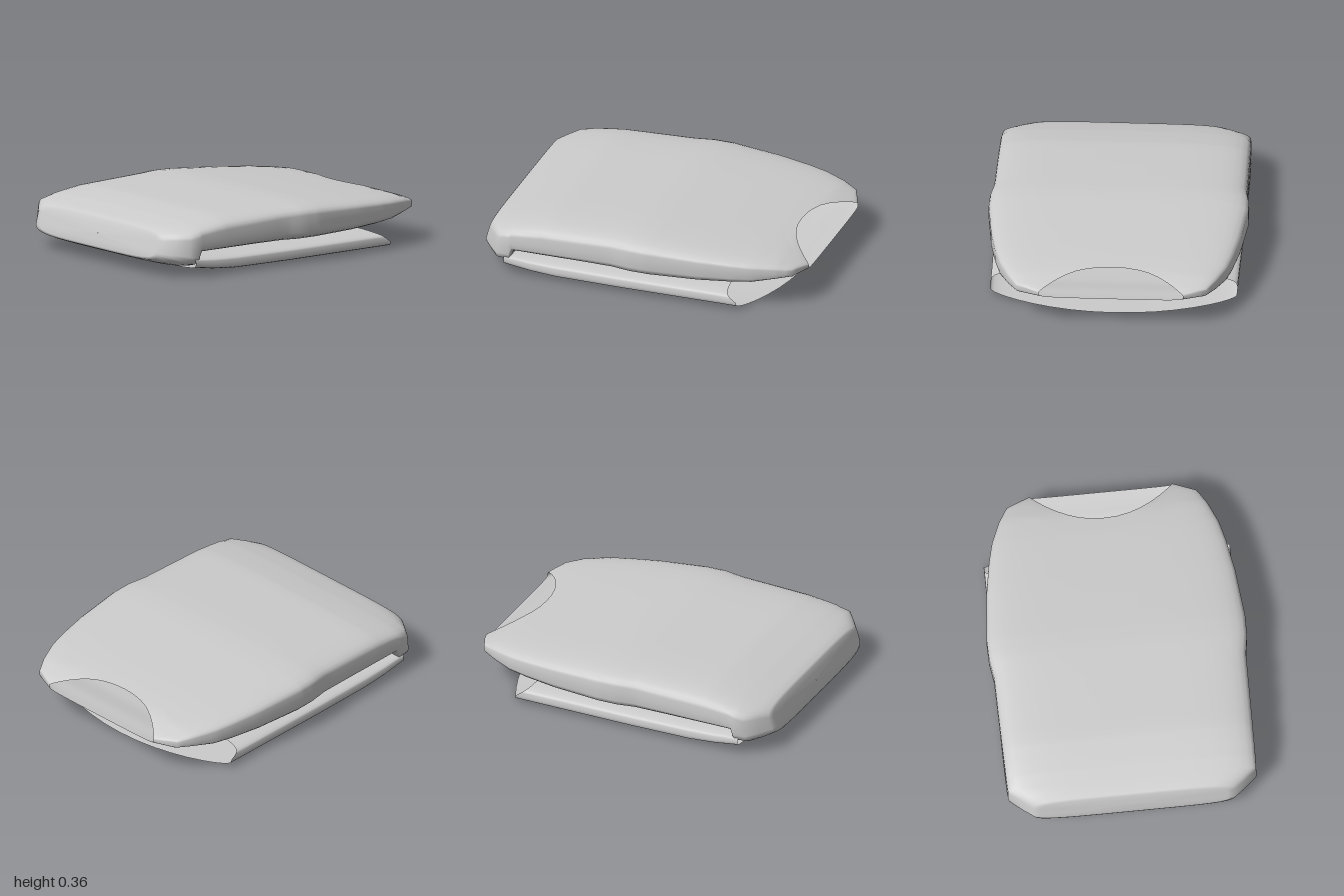
import * as THREE from 'three';

const FX = [1, 0.998, 0.99, 0.97, 0.93, 0.87, 0.78, 0.65, 0.5, 0.35, 0.18, 0];

// Cushion-shaped unit ring: flat top and bottom with rounded sides.
function unitRing(nTop, nBottom) {
  const half = [...FX, ...FX.slice(0, -1).reverse().map(x => -x)];
  const height = (x, n) => Math.pow(Math.max(0, 1 - Math.pow(Math.abs(x), n)), 1 / n);
  const top = half.map(x => [x, height(x, nTop)]);
  const bottom = half.slice(1, -1).reverse().map(x => [x, -height(x, nBottom)]);
  return [...top, ...bottom];
}

// Linear lookup in rows of [z, halfWidth, top, middle, bottom].
function rowAt(rows, z) {
  let i = 0;
  while (i < rows.length - 2 && z > rows[i + 1][0]) i++;
  const a = rows[i], b = rows[i + 1];
  const t = THREE.MathUtils.clamp((z - a[0]) / (b[0] - a[0]), 0, 1);
  return a.map((v, k) => v + (b[k] - v) * t);
}

const heightIn = (row, s) => row[3] + (s > 0 ? (row[2] - row[3]) * s : (row[3] - row[4]) * s);

// Joins rings of points, back to front, into one smooth skin.
function loft(name, rings, material) {
  const n = rings[0].length, index = [];
  for (let i = 0; i < rings.length - 1; i++) {
    for (let j = 0; j < n; j++) {
      const k = (j + 1) % n;
      const a = i * n + j, b = i * n + k, c = a + n, d = b + n;
      index.push(a, b, d, a, d, c);
    }
  }
  const geometry = new THREE.BufferGeometry();
  geometry.setAttribute('position', new THREE.Float32BufferAttribute(rings.flat(2), 3));
  geometry.setIndex(index);
  geometry.computeVertexNormals();
  const mesh = new THREE.Mesh(geometry, material);
  mesh.name = name;
  return mesh;
}

// Upper half of the garment, with the front fold and the open neck at the back.
function upperRings() {
  const rows = [
    [-1.0, 0.43, 0.235, 0.215, 0.19],
    [-0.94, 0.57, 0.255, 0.22, 0.18],
    [-0.85, 0.625, 0.285, 0.22, 0.17],
    [-0.72, 0.68, 0.303, 0.225, 0.142],
    [-0.6, 0.71, 0.315, 0.23, 0.132],
    [-0.4, 0.745, 0.333, 0.235, 0.122],
    [-0.1, 0.775, 0.356, 0.24, 0.117],
    [0.02, 0.773, 0.36, 0.24, 0.117],
    [0.14, 0.755, 0.358, 0.235, 0.122],
    [0.35, 0.753, 0.352, 0.225, 0.127],
    [0.58, 0.75, 0.345, 0.215, 0.129],
    [0.7, 0.748, 0.327, 0.21, 0.13],
    [0.77, 0.747, 0.315, 0.205, 0.131],
    [0.79, 0.746, 0.311, 0.19, 0.042],
    [0.86, 0.743, 0.297, 0.185, 0.052],
    [0.92, 0.67, 0.286, 0.183, 0.07],
    [0.97, 0.605, 0.272, 0.181, 0.09],
    [0.977, 0.56, 0.258, 0.18, 0.103],
    [0.98, 0.4, 0.225, 0.18, 0.135],
    [0.982, 0.002, 0.181, 0.18, 0.179],
  ];
  const ring = unitRing(5, 5), zs = [];
  rows.forEach((row, i) => {
    const next = rows[i + 1];
    const steps = next && row[0] < 0.7 ? 3 : 1;
    for (let k = 0; k < steps; k++) zs.push(next ? row[0] + (next[0] - row[0]) * k / steps : row[0]);
  });
  return zs.map(z0 => {
    const base = rowAt(rows, z0);
    return ring.map(([fx, s]) => {
      const x = fx * base[1];
      let z = z0;
      // Scoop of the neckline
      if (s > 0 && z0 < -0.5 && Math.abs(x) < 0.43) {
        const edge = -1 + 0.2 * (1 - Math.pow(Math.abs(x) / 0.43, 2.2));
        z = -0.5 + (z0 + 0.5) * (-0.5 - edge) / 0.5;
      }
      const row = z === z0 ? base : rowAt(rows, z);
      const y = heightIn(row, s);
      // Front of the fold leans forward towards its lower edge
      const lean = THREE.MathUtils.clamp((z0 - 0.8) / 0.17, 0, 1);
      return [x, y, z - (y - 0.18) * 0.27 * lean];
    });
  });
}

// Lower half, open at the back with a curved hem and slanting side edges.
function lowerRings() {
  const rows = [
    [-0.84, 0.735, 0.113, 0.05, 0.003],
    [-0.4, 0.738, 0.113, 0.05, 0.002],
    [0.1, 0.744, 0.114, 0.052, 0.001],
    [0.5, 0.746, 0.118, 0.056, 0.005],
    [0.66, 0.746, 0.122, 0.065, 0.021],
    [0.82, 0.744, 0.13, 0.085, 0.044],
  ];
  const ring = unitRing(5, 4), steps = 18, rings = [];
  for (let i = 0; i <= steps; i++) {
    const t = i / steps;
    rings.push(ring.map(([fx, s]) => {
      const hem = -0.84 + 0.19 * fx * fx;
      const side = s > 0 ? -0.65 + 0.09 * s : hem;
      const z = side + (0.82 - side) * t;
      const row = rowAt(rows, z);
      return [fx * row[1], heightIn(row, s), z];
    }));
  }
  return rings;
}

export function createModel() {
  const cloth = new THREE.MeshStandardMaterial({ color: 0xcccccc });
  cloth.name = 'lightGreyCloth';
  cloth.side = THREE.DoubleSide;

  const model = new THREE.Group();
  model.name = 'foldedShirt';
  model.add(loft('upperLayer', upperRings(), cloth));
  model.add(loft('lowerLayer', lowerRings(), cloth));
  return model;
}
